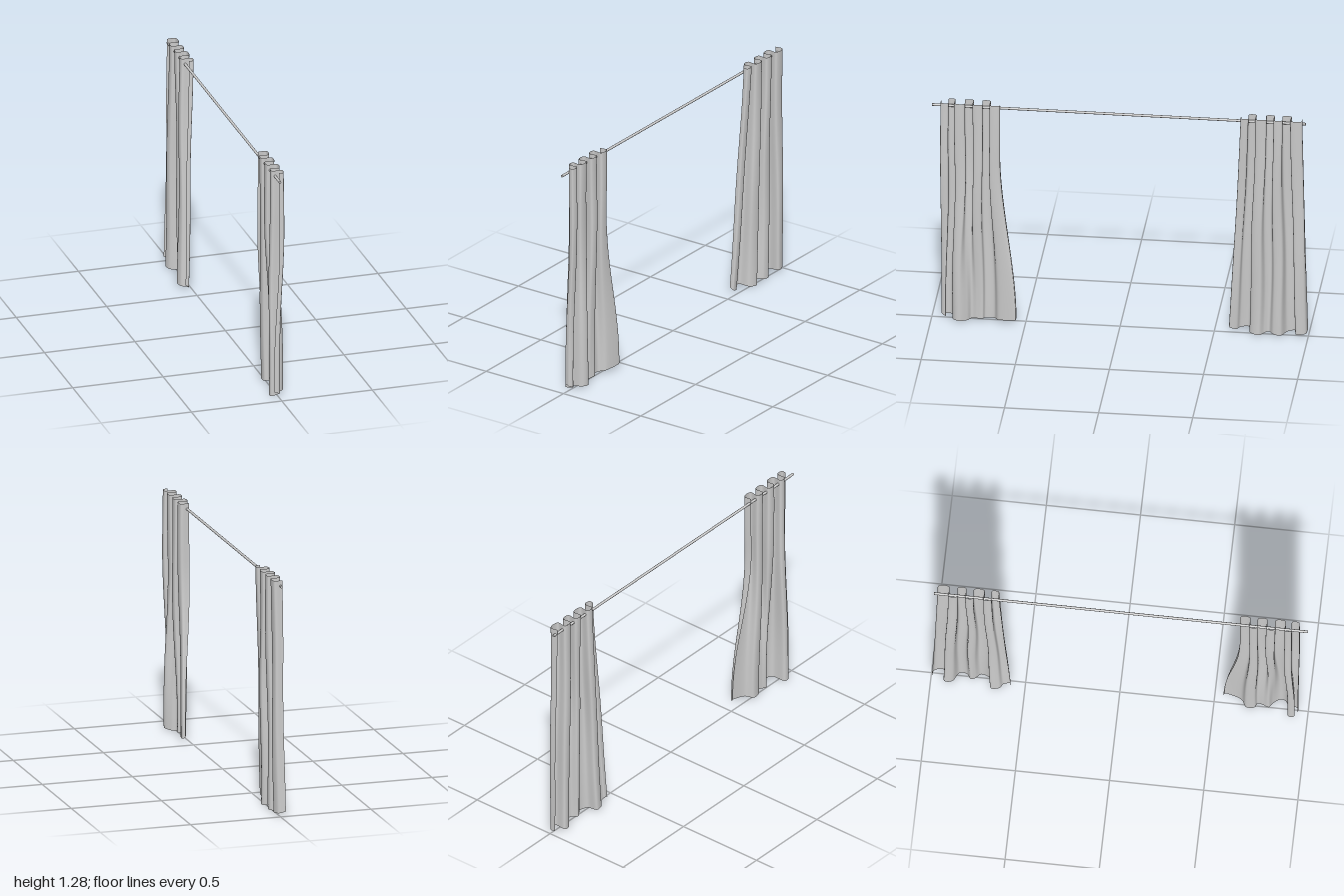
import * as THREE from 'three';

const TOP = 1.285;
const material = new THREE.MeshStandardMaterial({ color: 0xcccccc, side: THREE.DoubleSide });

const spline = (pts) => new THREE.CatmullRomCurve3(
  pts.map(([x, z]) => new THREE.Vector3(x, 0, z)), false, 'catmullrom', 0.5);

// Rounded pleats: each pair of neighbouring edges is one panel, alternately in front of and
// behind the rod; the two free edges curl back
function pleats(edges, depth) {
  const last = edges.length - 1;
  const pts = [[0, edges[0]]];
  for (let i = 0; i < last; i++) {
    const x = i % 2 ? -depth : depth;
    pts.push([x, edges[i]], [x, edges[i + 1]]);
  }
  pts.push([-0.02, edges[last]]);
  return pts;
}

// Cloth lofted from the regular pleats at the top to the loose folds at the hem
function curtain(name, edges, hem, flare, phase) {
  const top = spline(pleats(edges, 0.025));
  const bottom = spline(hem);
  const cols = 180, rows = 40;
  const geo = new THREE.PlaneGeometry(1, 1, cols, rows);
  const pos = geo.attributes.position;
  for (let j = 0; j <= rows; j++) {
    const v = j / rows;
    const blend = flare(v);
    const sway = Math.sin(Math.PI * v);
    for (let i = 0; i <= cols; i++) {
      const u = i / cols;
      const p = top.getPoint(u).lerp(bottom.getPoint(u), blend);
      p.x += 0.005 * sway * Math.sin(5 * v + 9 * u + phase);
      p.z += 0.006 * sway * Math.sin(7 * v + 6 * u + phase) * Math.sin(Math.PI * u);
      // hem lifts toward the two side edges
      const hemY = 0.004 + 0.026 * Math.pow(2 * u - 1, 4) + 0.004 * Math.sin(22 * u + phase);
      p.y = THREE.MathUtils.lerp(TOP, Math.max(0, hemY), v);
      pos.setXYZ(j * (cols + 1) + i, p.x, p.y, p.z);
    }
  }
  geo.computeVertexNormals();
  const mesh = new THREE.Mesh(geo, material);
  mesh.name = name;
  return mesh;
}

export function createModel() {
  const group = new THREE.Group();
  group.name = 'curtains';

  // Rod
  const rod = new THREE.Mesh(new THREE.CylinderGeometry(0.007, 0.007, 1.985, 16), material);
  rod.name = 'rod';
  rod.rotation.x = Math.PI / 2;
  rod.position.set(-0.01, 1.254, 0.0075);
  group.add(rod);

  // Curtain at the front end, hanging straight before it flares
  group.add(curtain('frontCurtain',
    [0.95, 0.912, 0.877, 0.825, 0.78, 0.732, 0.69, 0.64],
    [[-0.025, 0.945], [0, 0.948], [0.01, 0.925], [-0.035, 0.93], [-0.035, 0.895], [0.03, 0.885],
      [0.05, 0.85], [0.025, 0.81], [0, 0.79], [0.008, 0.76], [0.012, 0.73], [-0.01, 0.715],
      [-0.012, 0.67], [0.025, 0.64], [0.045, 0.56], [0.03, 0.547]],
    (v) => THREE.MathUtils.smoothstep(v, 0.25, 1), 0));

  // Curtain at the back end, widening steadily
  group.add(curtain('backCurtain',
    [-0.645, -0.682, -0.722, -0.776, -0.818, -0.862, -0.908, -0.965],
    [[-0.04, -0.575], [-0.02, -0.58], [-0.025, -0.615], [-0.05, -0.635], [-0.055, -0.68], [0, -0.69],
      [0.02, -0.735], [-0.005, -0.765], [-0.015, -0.79], [0.012, -0.815], [0.012, -0.855], [-0.035, -0.885],
      [-0.04, -0.93], [0.018, -0.935], [0.01, -0.985], [-0.03, -0.995]],
    (v) => Math.pow(v, 1.1), 2));

  return group;
}
